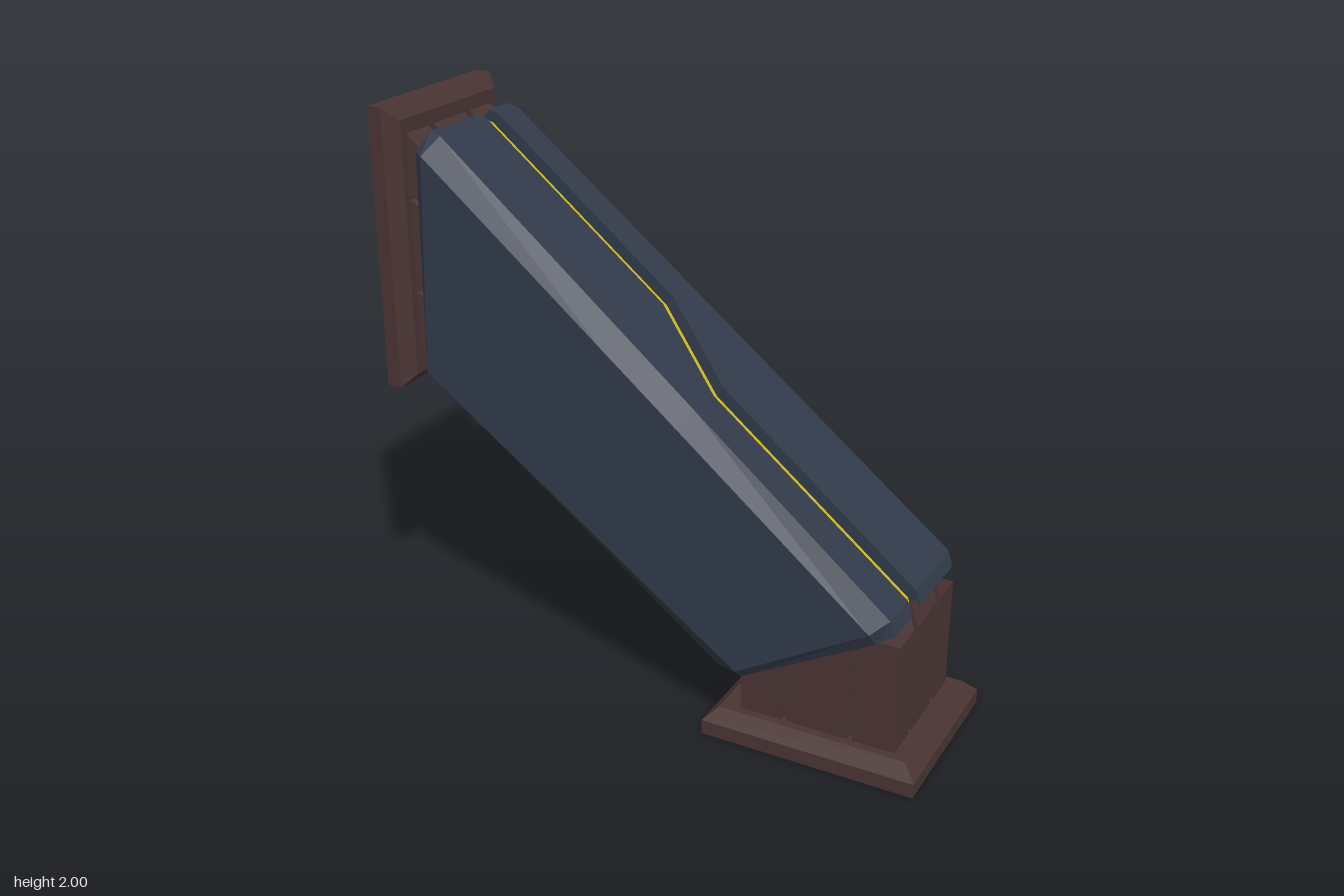
import * as THREE from 'three';

const BROWN = 0x4a3434, NAVY = 0x323a4a, YELLOW = 0xc8b41c;

function makeMesh(name, positions, color, side = THREE.FrontSide) {
  const geo = new THREE.BufferGeometry();
  geo.setAttribute('position', new THREE.Float32BufferAttribute(positions, 3));
  geo.computeVertexNormals();
  const mesh = new THREE.Mesh(geo, new THREE.MeshStandardMaterial({ color, flatShading: true, side }));
  mesh.name = name;
  return mesh;
}

const centre = ring => ring.reduce((s, p) => s.add(p), new THREE.Vector3()).divideScalar(ring.length);

// Closed solid through rings of points; u and v are the axes used to triangulate the caps
function loft(name, rings, color, u, v) {
  const out = [];
  const tri = (...pts) => pts.forEach(p => out.push(p.x, p.y, p.z));
  for (let s = 0; s < rings.length - 1; s++) {
    const r0 = rings[s], r1 = rings[s + 1], n = r0.length;
    for (let i = 0; i < n; i++) {
      const j = (i + 1) % n;
      tri(r0[i], r0[j], r1[j]);
      tri(r0[i], r1[j], r1[i]);
    }
  }
  const first = rings[0], last = rings[rings.length - 1];
  const axis = centre(last).sub(centre(first));
  for (const [ring, sign] of [[first, -1], [last, 1]]) {
    const contour = ring.map(p => new THREE.Vector2(p[u], p[v]));
    for (const [a, b, c] of THREE.ShapeUtils.triangulateShape(contour, [])) {
      const normal = ring[b].clone().sub(ring[a]).cross(ring[c].clone().sub(ring[a]));
      if (normal.dot(axis) * sign > 0) tri(ring[a], ring[b], ring[c]);
      else tri(ring[a], ring[c], ring[b]);
    }
  }
  return makeMesh(name, out, color);
}

// Rectangle outline, counter-clockwise from above
const rect = (hx, hz, y) =>
  [[1, 1], [1, -1], [-1, -1], [-1, 1]].map(([x, z]) => new THREE.Vector3(x * hx, y, z * hz));

// Rectangle outline with two narrow notches in every side
function notched(hx, hz, cx, y, depth = 0.026) {
  const pts = [], corners = rect(hx, hz, 0);
  corners.forEach((p, i) => {
    const q = corners[(i + 1) % 4];
    const dir = q.clone().sub(p), len = dir.length();
    dir.normalize();
    const inward = new THREE.Vector3(dir.z, 0, -dir.x);
    if (inward.dot(p) > 0) inward.negate();
    const gap = i % 2 ? 0.02 : 0.03;
    const at = (t, d) => pts.push(p.clone().addScaledVector(dir, t).addScaledVector(inward, d));
    at(0, 0);
    for (const c of [0.285 * len, 0.715 * len]) {
      at(c - gap / 2, 0); at(c - gap / 2, depth);
      at(c + gap / 2, depth); at(c + gap / 2, 0);
    }
  });
  return pts.map(p => {
    p.x += cx;
    p.y = typeof y === 'function' ? y(p.x) : y;
    return p;
  });
}

// Chamfered plate with a notched block standing on it
function mount(name, hx, hz, neck) {
  const group = new THREE.Group();
  group.name = name;
  group.add(loft(name + 'Plate', [
    rect(hx, hz, 0), rect(hx, hz, 0.052), rect(hx - 0.045, hz - 0.04, 0.097),
  ], BROWN, 'x', 'z'));
  group.add(loft(name + 'Block', neck, BROWN, 'x', 'z'));
  return group;
}

// Armoured beam: each station gives top, upper side, lower side and bottom points
const ends = [
  { T: [-0.81, 1.92], U: [-0.84, 1.86], L: [-0.83, 1.12], B: [-0.85, 1.08], a: 0.22, w: 0.265, b: 0.21 },
  { T: [-0.77, 1.91], U: [-0.79, 1.86], L: [-0.82, 1.11], B: [-0.82, 1.04], a: 0.225, w: 0.307, b: 0.23 },
  { T: [0.86, 0.59], U: [0.81, 0.55], L: [0.35, 0.28], B: [0.25, 0.235], a: 0.26, w: 0.307, b: 0.23 },
  { T: [0.88, 0.54], U: [0.825, 0.508], L: [0.36, 0.25], B: [0.30, 0.215], a: 0.25, w: 0.28, b: 0.22 },
];
const mix = (p, q, t) => {
  const m = {};
  for (const k in p) {
    m[k] = Array.isArray(p[k]) ? p[k].map((c, i) => c + (q[k][i] - c) * t) : p[k] + (q[k] - p[k]) * t;
  }
  return m;
};

function createBeam() {
  const group = new THREE.Group();
  group.name = 'beam';
  // The groove in the top shifts sideways between the two middle stations
  const stations = [ends[0], ends[1], mix(ends[1], ends[2], 0.41), mix(ends[1], ends[2], 0.575), ends[2], ends[3]];
  const grooveZ = [-0.075, -0.075, -0.075, 0.078, 0.078, 0.078];
  const half = 0.036;
  const sunk = ([x, y], d) => [x - 0.63 * d, y - 0.777 * d];
  const P = ([x, y], z) => new THREE.Vector3(x, y, z);

  const rings = stations.map(({ T, U, L, B, a, w, b }, i) => {
    const g1 = grooveZ[i] - half, g2 = grooveZ[i] + half, F = sunk(T, 0.045);
    return [P(T, -a), P(T, g1), P(F, g1), P(F, g2), P(T, g2), P(T, a),
      P(U, w), P(L, w), P(B, b), P(B, -b), P(L, -w), P(U, -w)];
  });
  group.add(loft('beamShell', rings, NAVY, 'z', 'y'));

  // Strip lying on the groove floor
  const strip = [];
  for (let i = 0; i < stations.length - 1; i++) {
    const [a, b, c, d] = [[i, -1], [i, 1], [i + 1, 1], [i + 1, -1]].map(([s, e]) =>
      P(sunk(stations[s].T, 0.041), grooveZ[s] + e * half));
    for (const p of [a, b, c, a, c, d]) strip.push(p.x, p.y, p.z);
  }
  group.add(makeMesh('grooveStrip', strip, YELLOW, THREE.DoubleSide));
  return group;
}

export function createModel() {
  const model = new THREE.Group();
  model.name = 'supportBrace';
  model.add(createBeam());

  // Floor mount, its block cut along the slanted lower end of the beam
  const baseX = 0.607;
  const slant = x => (x > 0.28 ? 0.49 : 0.24 + 0.56 * (x + baseX - 0.3));
  const floorMount = mount('floorMount', 0.378, 0.307, [
    notched(0.275, 0.238, 0.009, 0.09),
    notched(0.275, 0.238, 0.009, slant),
  ]);
  floorMount.position.x = baseX;
  model.add(floorMount);

  // Wall mount, turned so that its block points along +x
  const wallMount = mount('wallMount', 0.485, 0.307, [
    notched(0.378, 0.24, -0.02, 0.09),
    notched(0.345, 0.235, 0.01, 0.165),
  ]);
  wallMount.rotation.z = -Math.PI / 2;
  wallMount.position.set(-0.99, 1.515, 0);
  model.add(wallMount);
  return model;
}
